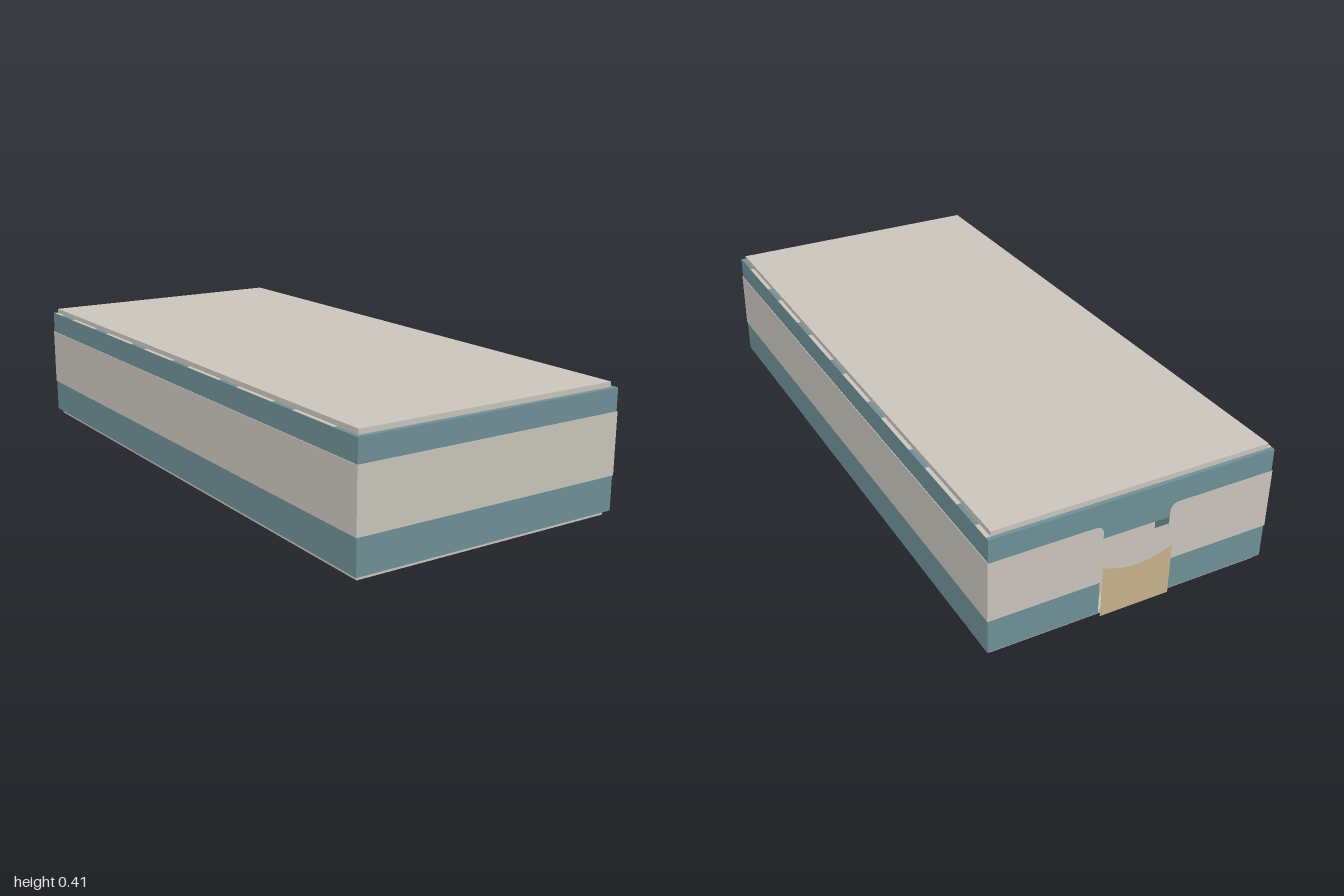
import * as THREE from 'three';

const material = (name, color, side = THREE.FrontSide) => {
  const m = new THREE.MeshStandardMaterial({ color, side });
  m.name = name;
  return m;
};

export function createModel() {
  const teal = material('teal', 0x6f9197);
  const beige = material('beige', 0xcbc7be, THREE.DoubleSide);
  const tan = material('tan', 0xc6b48d, THREE.DoubleSide);

  const group = new THREE.Group();
  group.name = 'bandedBox';

  const add = (name, geometry, mat, x = 0, y = 0, z = 0) => {
    const mesh = new THREE.Mesh(geometry, mat);
    mesh.name = name;
    mesh.position.set(x, y, z);
    group.add(mesh);
    return mesh;
  };
  // box given by its min and max corners
  const box = (name, mat, [x0, y0, z0], [x1, y1, z1]) =>
    add(name, new THREE.BoxGeometry(x1 - x0, y1 - y0, z1 - z0), mat,
      (x0 + x1) / 2, (y0 + y1) / 2, (z0 + z1) / 2);

  const W = 0.463, Y0 = 0.015, Y1 = 0.392;      // body half width, bottom, top
  const FRONT = 0.998, BACK = -0.983, INNER = -0.92;
  const BAND0 = 0.125, BAND1 = 0.32;            // pale band heights
  const NOTCH = 0.11, NOTCH_TOP = 0.274;        // opening in the back wall
  const T = 0.002;                              // paint thickness

  // main body and the back wall with its opening
  box('body', teal, [-W, Y0, INNER], [W, Y1, FRONT]);
  const wall = new THREE.Shape();
  [[-W, Y0], [-NOTCH, Y0], [-NOTCH, NOTCH_TOP], [NOTCH, NOTCH_TOP], [NOTCH, Y0], [W, Y0], [W, Y1], [-W, Y1]]
    .forEach(([x, y], i) => (i ? wall.lineTo(x, y) : wall.moveTo(x, y)));
  add('backWall', new THREE.ExtrudeGeometry(wall, { depth: INNER - BACK, bevelEnabled: false }), teal, 0, 0, BACK);
  box('openingLiner', beige, [-NOTCH, Y0, INNER - T], [NOTCH, NOTCH_TOP, INNER]);

  // pale bands on the front and sides
  box('frontBand', beige, [-W - T, BAND0, FRONT], [W + T, BAND1, FRONT + T]);
  for (const s of [-1, 1]) {
    const side = s > 0 ? 'left' : 'right';
    const x = s * (W + T / 2);
    box(side + 'Band', beige, [x - T / 2, BAND0, BACK - T], [x + T / 2, BAND1, FRONT]);

    // back band stops at the opening with a rounded upper corner
    const r = 0.03, e = NOTCH - 0.001;
    const band = new THREE.Shape();
    band.moveTo(s * W, BAND0);
    band.lineTo(s * e, BAND0);
    band.lineTo(s * e, BAND1 - r);
    band.quadraticCurveTo(s * e, BAND1, s * (e + r), BAND1);
    band.lineTo(s * W, BAND1);
    add(side + 'BackBand', new THREE.ShapeGeometry(band), beige, 0, 0, BACK - T);

    // pale dashes along the top ledge
    for (let i = 0; i < 7; i++) {
      const z1 = 0.89 - i * 0.3;
      const z0 = Math.max(z1 - 0.195, -0.97);
      box(side + 'LedgeDash', beige,
        [Math.min(s * 0.449, s * W), Y1, z0], [Math.max(s * 0.449, s * W), Y1 + 0.001, z1]);
    }
  }

  // cover panels
  box('topPanel', beige, [-0.45, Y1, -0.97], [0.45, 0.408, 0.982]);
  box('bottomPanel', beige, [-0.45, 0, -0.97], [0.45, Y0, 0.982]);

  // flat flap hanging just behind the opening, pale above a curved line
  const D = 0.115, TOP = 0.267, EDGE = 0.188, SAG = 0.135;
  const upper = new THREE.Shape();
  upper.moveTo(-D, TOP);
  upper.lineTo(-D, EDGE);
  upper.quadraticCurveTo(0, SAG, D, EDGE);
  upper.lineTo(D, TOP);
  add('flapUpper', new THREE.ShapeGeometry(upper), beige, 0, 0, -1);
  const lower = new THREE.Shape();
  lower.moveTo(-D, 0.018);
  lower.lineTo(D, 0.018);
  lower.lineTo(D, EDGE);
  lower.quadraticCurveTo(0, SAG, -D, EDGE);
  add('flapLower', new THREE.ShapeGeometry(lower), tan, 0, 0, -1);

  return group;
}
